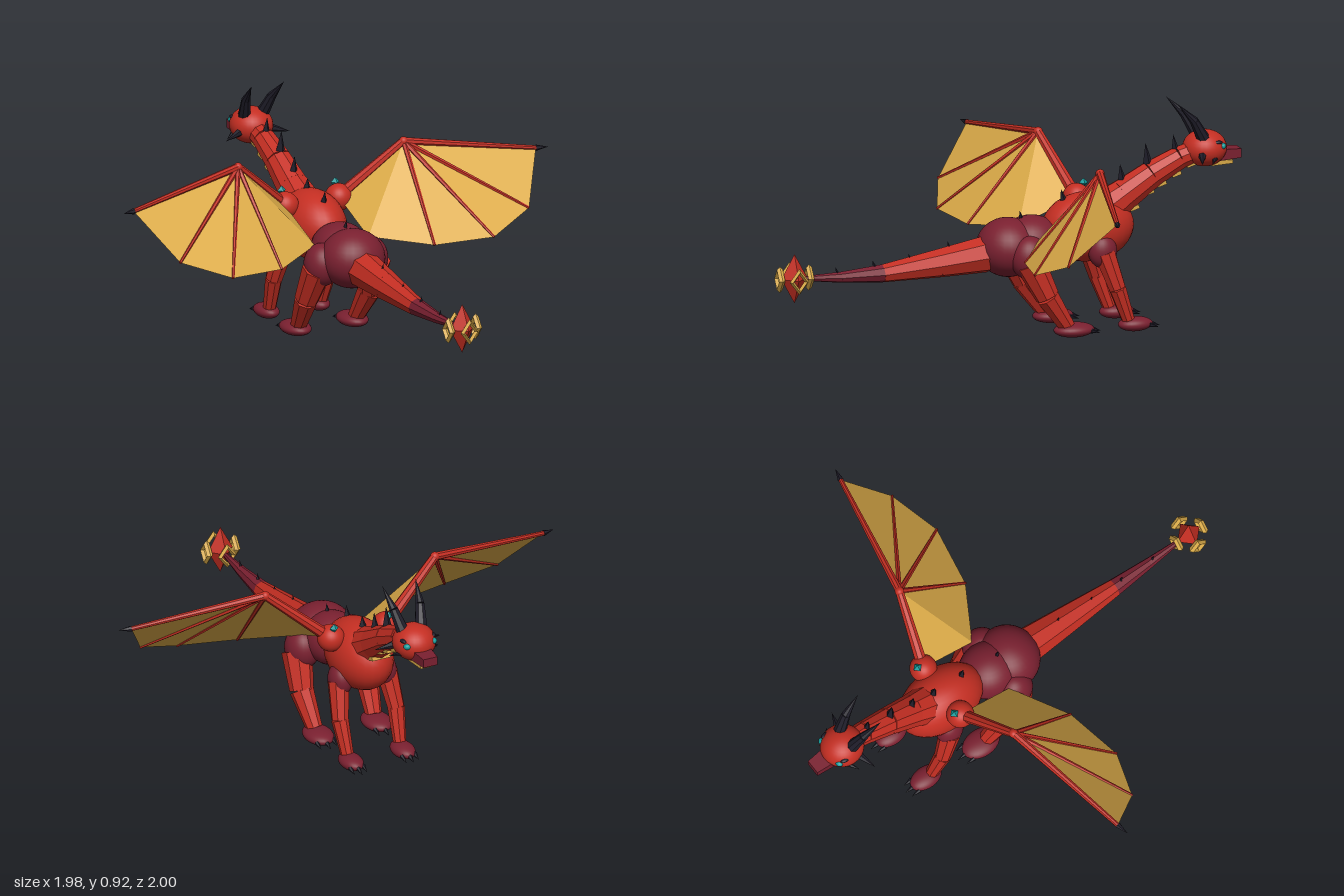
import * as THREE from 'three';

const mat = (name, color, side = THREE.FrontSide) => {
  const m = new THREE.MeshStandardMaterial({ color, side });
  m.name = name;
  return m;
};
const V = (x, y, z) => new THREE.Vector3(x, y, z);

export function createModel() {
  const red = mat('scale red', 0xc42e22);
  const maroon = mat('dark maroon', 0x7a2030);
  const gold = mat('gold', 0xd9aa48);
  const skin = mat('wing gold', 0xdcab48, THREE.DoubleSide);
  const dark = mat('horn black', 0x1e1c28);
  const teal = mat('teal', 0x149a9a);
  const model = new THREE.Group();
  model.name = 'dragon';

  const flat = (g) => {
    const f = g.index ? g.toNonIndexed() : g;
    f.computeVertexNormals();
    return f;
  };
  const add = (name, geo, m, p = V(0, 0, 0)) => {
    const mesh = new THREE.Mesh(geo, m);
    mesh.name = name;
    mesh.position.copy(p);
    model.add(mesh);
    return mesh;
  };
  // smooth ellipsoid
  const ball = (name, m, p, rx, ry = rx, rz = rx) => {
    const b = add(name, new THREE.SphereGeometry(1, 28, 20), m, p);
    b.scale.set(rx, ry, rz);
    return b;
  };
  // faceted tapered rod from a to b
  const rod = (name, m, a, b, r0, r1, sides = 8) => {
    const d = b.clone().sub(a);
    const g = flat(new THREE.CylinderGeometry(r1, r0, d.length(), sides));
    const mesh = add(name, g, m, a.clone().add(b).multiplyScalar(0.5));
    mesh.quaternion.setFromUnitVectors(V(0, 1, 0), d.normalize());
    return mesh;
  };
  const chain = (name, m, pts, radii, sides = 8) => {
    for (let i = 0; i < pts.length - 1; i++)
      rod(name, m, pts[i], pts[i + 1], radii[i], radii[i + 1], sides);
  };

  // body
  ball('chest', red, V(0, 0.43, -0.345), 0.13, 0.145, 0.195);
  ball('waist', maroon, V(0, 0.385, -0.1), 0.12, 0.11, 0.13);
  ball('hips', maroon, V(0, 0.37, 0), 0.137, 0.122, 0.13);

  // neck with throat plates
  const neck = [V(0, 0.47, -0.38), V(0, 0.548, -0.5), V(0, 0.625, -0.62), V(0, 0.686, -0.74), V(0, 0.715, -0.83)];
  chain('neck', red, neck, [0.09, 0.069, 0.058, 0.049, 0.044], 10);
  [[0.5, -0.535], [0.56, -0.6], [0.59, -0.655], [0.625, -0.72], [0.66, -0.785]].forEach(([y, z], i) => {
    const plate = add('throatPlate', new THREE.BoxGeometry(0.085 - i * 0.007, 0.016, 0.04), gold, V(0, y, z));
    plate.rotation.x = 0.3;
  });

  // tail
  chain('tail', red, [V(0, 0.347, 0.1), V(0, 0.325, 0.3), V(0, 0.302, 0.54)], [0.077, 0.06, 0.038]);
  chain('tailEnd', maroon, [V(0, 0.302, 0.54), V(0, 0.3, 0.72), V(0, 0.307, 0.88)], [0.038, 0.023, 0.01]);

  // tail ornament
  const gem = add('tailGem', new THREE.OctahedronGeometry(1), red, V(0, 0.31, 0.922));
  gem.scale.set(0.056, 0.103, 0.056);
  for (let i = 0; i < 4; i++) {
    const a = (i * Math.PI) / 2;
    const frame = add('tailFrame', flat(new THREE.TorusGeometry(0.042, 0.013, 4, 4)), gold,
      V(Math.sin(a) * 0.063, 0.31, 0.922 + Math.cos(a) * 0.063));
    frame.scale.x = 0.75;
    frame.rotation.y = a;
  }

  // back spines: base y, z, height, radius
  [[0.715, -0.725, 0.07, 0.018], [0.67, -0.605, 0.09, 0.021], [0.6, -0.495, 0.08, 0.021],
    [0.555, -0.385, 0.06, 0.021], [0.55, -0.24, 0.045, 0.014], [0.48, -0.06, 0.04, 0.011],
    [0.375, 0.25, 0.04, 0.009], [0.342, 0.42, 0.035, 0.009], [0.33, 0.575, 0.03, 0.008], [0.315, 0.735, 0.03, 0.007]]
    .forEach(([y, z, h, r]) => rod('spine', dark, V(0, y, z), V(0, y + h, z + 0.01), r, 0, 4));

  // head
  ball('head', red, V(0, 0.72, -0.85), 0.09, 0.076, 0.092);
  const frustum = (name, m, w, h, z0, z1, y) => {
    const g = new THREE.BoxGeometry(w, h, z0 - z1);
    const p = g.attributes.position;
    for (let i = 0; i < p.count; i++)
      if (p.getZ(i) < 0) p.setXY(i, p.getX(i) * 0.75, p.getY(i) * 0.75);
    return add(name, flat(g), m, V(0, y, (z0 + z1) / 2));
  };
  frustum('muzzle', maroon, 0.085, 0.05, -0.88, -1, 0.692);
  frustum('jaw', gold, 0.07, 0.02, -0.87, -0.965, 0.658);

  for (const s of [1, -1]) {
    const P = (x, y, z) => V(s * x, y, z);
    // face
    ball('nostril', dark, P(0.018, 0.702, -0.994), 0.006);
    ball('eye', teal, P(0.058, 0.735, -0.908), 0.017, 0.013, 0.015);
    ball('brow', dark, P(0.066, 0.753, -0.885), 0.012, 0.008, 0.02);
    chain('horn', dark, [P(0.042, 0.77, -0.83), P(0.06, 0.85, -0.785), P(0.076, 0.928, -0.71)], [0.027, 0.019, 0]);
    rod('cheekSpike', dark, P(0.075, 0.705, -0.815), P(0.15, 0.685, -0.79), 0.017, 0, 6);
    rod('jawSpike', dark, P(0.065, 0.69, -0.875), P(0.115, 0.675, -0.845), 0.013, 0, 6);

    // legs, feet and claws
    ball('haunch', maroon, P(0.112, 0.345, -0.055), 0.074, 0.09, 0.08);
    chain('rearLeg', red, [P(0.135, 0.33, -0.05), P(0.148, 0.185, -0.12), P(0.135, 0.05, -0.21)], [0.064, 0.05, 0.034]);
    ball('frontShoulder', maroon, P(0.1, 0.345, -0.375), 0.05, 0.07, 0.06);
    chain('frontLeg', red, [P(0.11, 0.34, -0.38), P(0.128, 0.19, -0.43), P(0.12, 0.05, -0.48)], [0.046, 0.036, 0.027]);
    for (const [x, z, rx, rz] of [[0.133, -0.24, 0.06, 0.086], [0.118, -0.51, 0.047, 0.073]]) {
      ball('foot', maroon, P(x, 0.034, z), rx, 0.03, rz);
      for (const k of [-1, 0, 1]) {
        const cx = x + k * rx * 0.6;
        const cz = z - rz * (k ? 0.72 : 0.9);
        rod('claw', dark, P(cx, 0.032, cz), P(cx, 0.02, cz - 0.04), 0.011, 0, 6);
      }
    }

    // wing
    const root = P(0.125, 0.525, -0.34);
    const elbow = P(0.387, 0.745, -0.265);
    const tip = P(0.94, 0.667, -0.148);
    const fingers = [P(0.815, 0.473, 0.02), P(0.61, 0.397, 0.095), P(0.357, 0.387, 0.05)];
    ball('wingShoulder', red, root, 0.057);
    add('shoulderGem', new THREE.OctahedronGeometry(0.02), teal, P(0.125, 0.582, -0.37));
    rod('wingArm', red, root, elbow, 0.026, 0.018);
    ball('wingElbow', red, elbow, 0.019);
    rod('wingEdge', red, elbow, tip, 0.017, 0.01);
    rod('wingClaw', dark, tip, P(0.992, 0.667, -0.137), 0.013, 0, 6);
    for (const f of fingers) rod('wingFinger', red, elbow, f, 0.012, 0.006, 6);
    const rim = [tip, ...fingers, P(0.125, 0.42, -0.09), root];
    const pts = [];
    for (let i = 0; i < rim.length - 1; i++)
      pts.push(...(s > 0 ? [elbow, rim[i + 1], rim[i]] : [elbow, rim[i], rim[i + 1]]));
    const web = new THREE.BufferGeometry().setFromPoints(pts);
    web.computeVertexNormals();
    add('wingMembrane', web, skin);
  }
  return model;
}
